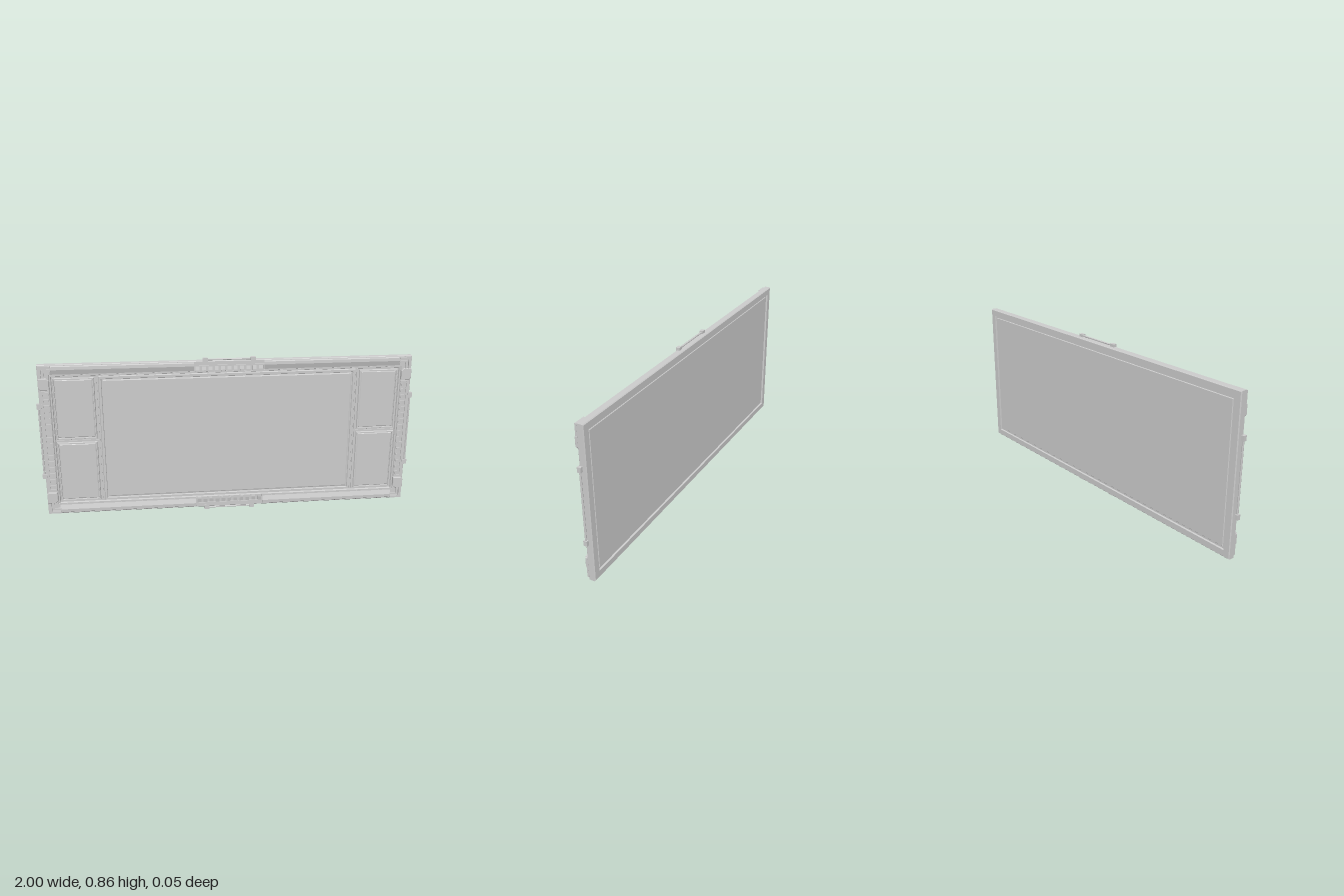
import * as THREE from 'three';

const CY = 0.43; // height of the panel centre
const HX = 0.985, HY = 0.4125; // half size of the body

export function createModel() {
  const root = new THREE.Group();
  const mat = new THREE.MeshStandardMaterial({ color: 0xcccccc, flatShading: true });

  const add = (parent, name, geo, x = 0, y = 0, z = 0) => {
    const m = new THREE.Mesh(geo, mat);
    m.name = name;
    m.position.set(x, y, z);
    parent.add(m);
    return m;
  };

  // Box given by its extents
  const block = (parent, name, x0, x1, y0, y1, z0, z1) =>
    add(parent, name, new THREE.BoxGeometry(Math.abs(x1 - x0), Math.abs(y1 - y0), z1 - z0),
      (x0 + x1) / 2, (y0 + y1) / 2, (z0 + z1) / 2);

  // Mitred rectangular frame swept from an [inset, z] profile, running outside to inside
  const ring = (parent, name, cx, cy, hx, hy, profile) => {
    const corners = [[-1, -1], [1, -1], [1, 1], [-1, 1]];
    const point = (i, k) => {
      const [sx, sy] = corners[i % 4], [d, z] = profile[k];
      return [sx * (hx - d), sy * (hy - d), z];
    };
    const pos = [];
    for (let i = 0; i < 4; i++) {
      for (let k = 0; k < profile.length - 1; k++) {
        const a = point(i, k), b = point(i + 1, k), c = point(i + 1, k + 1), d = point(i, k + 1);
        pos.push(...a, ...b, ...c, ...a, ...c, ...d);
      }
    }
    const geo = new THREE.BufferGeometry();
    geo.setAttribute('position', new THREE.Float32BufferAttribute(pos, 3));
    geo.computeVertexNormals();
    return add(parent, name, geo, cx, cy);
  };

  // Main body: back lip with groove, rounded outer edge, front rim falling to the recess
  ring(root, 'bodyFrame', 0, CY, HX, HY, [
    [0.05, -0.019], [0.047, -0.016], [0.038, -0.016], [0.036, -0.025], [0.004, -0.025],
    [0, -0.021], [0, 0.008], [0.003, 0.011], [0.055, 0.011], [0.06, 0.003],
  ]);
  block(root, 'corePanel', -HX + 0.05, HX - 0.05, CY - HY + 0.05, CY + HY - 0.05, -0.019, 0.003);

  // Inner rim around all the front panels
  ring(root, 'innerRim', 0, CY, 0.925, 0.357, [
    [0, 0.003], [0, 0.012], [0.006, 0.012], [0.009, 0.003],
  ]);

  // Raised surround, inset step and flat face, used for the screen and the side cells
  const panel = (name, x0, x1, y0, y1, border) => {
    const g = new THREE.Group();
    g.name = name;
    root.add(g);
    const cx = (x0 + x1) / 2, cy = (y0 + y1) / 2, hx = (x1 - x0) / 2, hy = (y1 - y0) / 2;
    ring(g, name + 'Surround', cx, cy, hx, hy, [
      [0, 0.003], [0.003, 0.011], [border * 0.55, 0.011], [border * 0.65, 0.005],
      [border * 0.8, 0.005], [border, 0.007],
    ]);
    block(g, name + 'Face', x0 + border, x1 - border, y0 + border, y1 - border, 0, 0.007);
  };
  panel('screen', -0.68, 0.68, 0.083, 0.777, 0.026);
  for (const s of [-1, 1]) {
    const xs = [s * 0.7, s * 0.912].sort((a, b) => a - b);
    panel('lowerCell', xs[0], xs[1], 0.089, 0.422, 0.014);
    panel('upperCell', xs[0], xs[1], 0.438, 0.771, 0.014);
    // Ribs beside the screen and between the cells
    block(root, 'cellDivider', s * 0.69, s * 0.912, CY - 0.003, CY + 0.003, 0, 0.008);
    block(root, 'screenRib', s * 0.687, s * 0.694, 0.083, 0.777, 0, 0.009);
  }

  // Bevelled rails along the top and bottom, broken by the central vents
  const rail = new THREE.Shape([
    [0.004, 0.008], [0.01, 0.018], [0.026, 0.019], [0.054, 0.01], [0.054, 0.006], [0.004, 0.006],
  ].map(([d, z]) => new THREE.Vector2(d, z)));
  const railLength = 0.735;
  for (const sx of [-1, 1]) {
    for (const top of [false, true]) {
      const geo = new THREE.ExtrudeGeometry(rail, { depth: railLength, bevelEnabled: false });
      // Profile (d, z) to (y, z), length along x
      geo.applyMatrix4(new THREE.Matrix4().set(0, 0, 1, 0, 1, 0, 0, 0, 0, 1, 0, 0, 0, 0, 0, 1));
      const m = add(root, top ? 'topRail' : 'bottomRail', geo, sx > 0 ? 0.185 : -0.185 - railLength, CY - HY);
      if (top) {
        m.rotation.z = Math.PI;
        m.position.set(sx > 0 ? 0.185 + railLength : -0.185, CY + HY, 0);
      }
    }
  }

  // Sloped tooth for the vents: low at the outer side, high at the inner side
  const tooth = new THREE.Shape([[0, 0], [0.028, 0], [0.028, 0.006], [0.02, 0.006], [0, 0.002]]
    .map(([u, v]) => new THREE.Vector2(u, v)));
  const toothGeo = (width) => new THREE.ExtrudeGeometry(tooth, { depth: width, bevelEnabled: false })
    .translate(0, 0, -width / 2).rotateX(Math.PI / 2);

  // One vent: strip of teeth between two rims, built lying along the local y axis
  const vent = (name, halfLength, count, inset) => {
    const g = new THREE.Group();
    g.name = name;
    block(g, 'ventOuterRim', inset - 0.006, inset, -halfLength, halfLength, 0.009, 0.017);
    block(g, 'ventInnerRim', inset + 0.028, inset + 0.033, -halfLength, halfLength, 0.005, 0.014);
    const pitch = (2 * halfLength) / count;
    for (let i = 0; i < count; i++) {
      add(g, 'ventTooth', toothGeo(pitch * 0.6), inset, -halfLength + (i + 0.5) * pitch, 0.0105);
    }
    for (const s of [-1, 1]) {
      block(g, 'ventEnd', inset - 0.006, inset + 0.033, s * (halfLength - 0.005), s * halfLength, 0.009, 0.017);
    }
    return g;
  };

  // Handle: slim rod held by two clips, local x pointing outwards
  const handle = (name, halfLength) => {
    const g = new THREE.Group();
    g.name = name;
    for (const s of [-1, 1]) {
      add(g, 'handleClip', new THREE.BoxGeometry(0.026, 0.027, 0.019), 0.002, s * halfLength, 0.004);
    }
    add(g, 'handleRod', new THREE.CylinderGeometry(0.005, 0.005, halfLength * 2, 8), 0.006, 0, 0.004);
    return g;
  };

  // Vents and handles on all four sides
  const sides = [
    { angle: 0, x: HX, y: CY, vent: [0.275, 16, 0.022], grip: 0.194, long: false },
    { angle: Math.PI, x: -HX, y: CY, vent: [0.275, 16, 0.022], grip: 0.194, long: false },
    { angle: Math.PI / 2, x: 0, y: CY + HY, vent: [0.183, 11, 0.028], grip: 0.126, long: true },
    { angle: -Math.PI / 2, x: 0, y: CY - HY, vent: [0.183, 11, 0.028], grip: 0.126, long: true },
  ];
  for (const s of sides) {
    const g = new THREE.Group();
    g.name = s.long ? 'horizontalEdge' : 'sideEdge';
    g.position.set(s.x, s.y, 0);
    g.rotation.z = s.angle;
    const v = vent('vent', ...s.vent);
    v.rotation.z = Math.PI;
    g.add(v, handle('handle', s.grip));
    root.add(g);
  }

  // Corner guards: an L strip along the edges with a thick block on the upright
  for (const sx of [-1, 1]) {
    for (const sy of [-1, 1]) {
      const g = new THREE.Group();
      g.name = 'cornerGuard';
      root.add(g);
      const X = (d) => sx * (HX - d), Y = (d) => CY + sy * (HY - d);
      block(g, 'guardUpright', X(0.006), X(0.02), Y(0.006), Y(0.125), 0.006, 0.023);
      block(g, 'guardArm', X(0.006), X(0.07), Y(0.006), Y(0.018), 0.006, 0.023);
      block(g, 'guardInnerUpright', X(0.026), X(0.036), Y(0.024), Y(0.08), 0.006, 0.019);
      block(g, 'guardInnerArm', X(0.026), X(0.07), Y(0.024), Y(0.034), 0.006, 0.019);
      // Block with a chamfered inner corner
      const p = [[0.005, 0.07], [0.044, 0.07], [0.055, 0.08], [0.055, 0.126], [0.012, 0.126], [0.005, 0.118]];
      const shape = new THREE.Shape(p.map(([a, b]) => new THREE.Vector2(X(a), Y(b))));
      add(g, 'guardBlock', new THREE.ExtrudeGeometry(shape, {
        depth: 0.018, bevelThickness: 0.002, bevelSize: 0.002, bevelSegments: 1,
      }), 0, 0, 0.006);
    }
  }

  return root;
}
